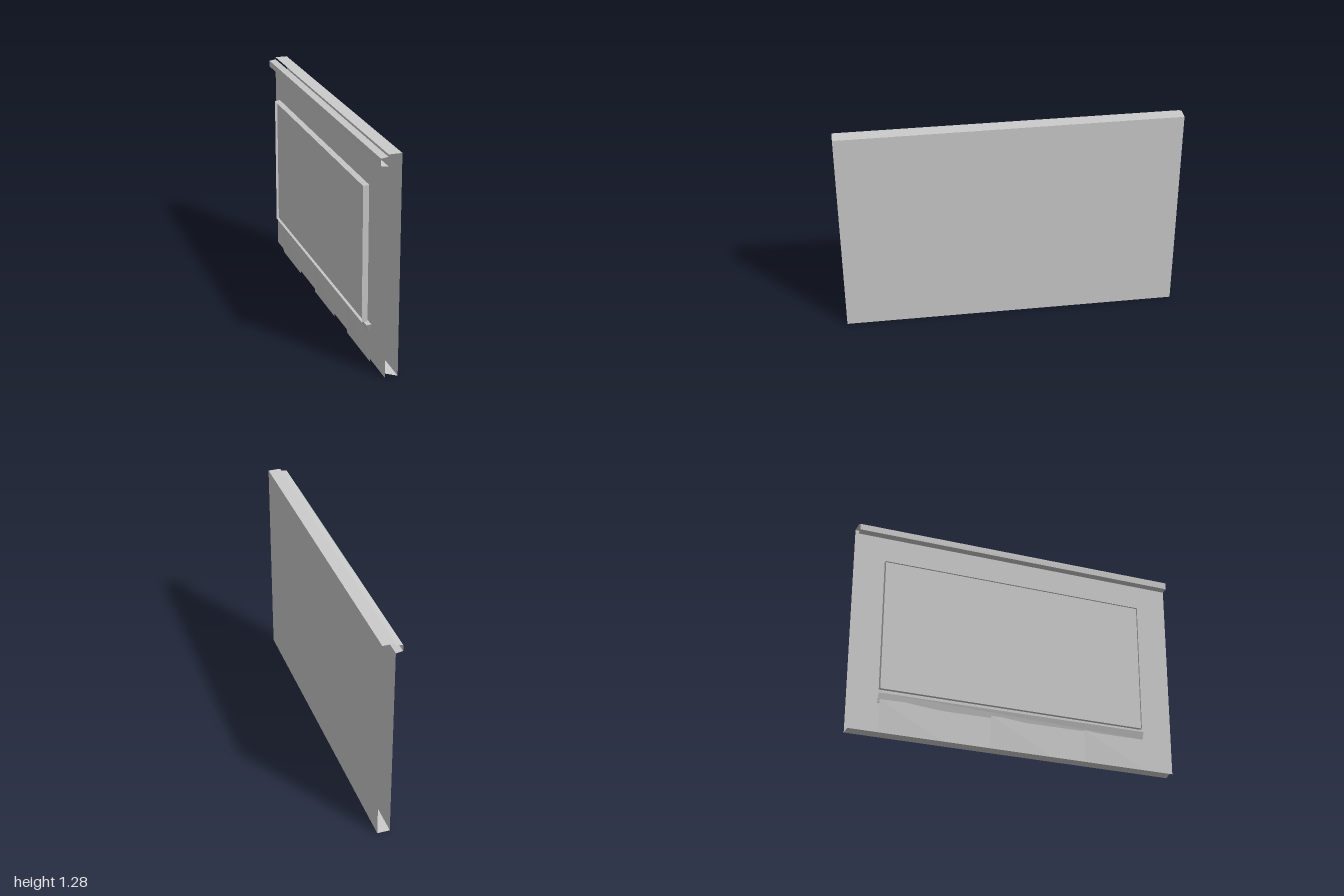
import * as THREE from 'three';

const material = new THREE.MeshStandardMaterial({
  color: 0xcccccc, flatShading: true, side: THREE.DoubleSide,
});

// Joins two cross-sections of [x, y, z] points with a thin sheet
function loft(name, a, b, closed = false) {
  const pos = [];
  const count = closed ? a.length : a.length - 1;
  for (let i = 0; i < count; i++) {
    const j = (i + 1) % a.length;
    pos.push(...a[i], ...b[i], ...b[j], ...a[i], ...b[j], ...a[j]);
  }
  const geometry = new THREE.BufferGeometry();
  geometry.setAttribute('position', new THREE.Float32BufferAttribute(pos, 3));
  geometry.computeVertexNormals();
  const mesh = new THREE.Mesh(geometry, material);
  mesh.name = name;
  return mesh;
}

// Runs an [x, y] profile straight along z
function strip(name, profile, z0, z1) {
  const at = (z) => profile.map(([x, y]) => [x, y, z]);
  return loft(name, at(z0), at(z1));
}

export function createModel() {
  const group = new THREE.Group();

  // Outer skin folded over into the top flange
  group.add(strip('outerSkin', [[0.065, 0], [0.065, 1.285], [-0.01, 1.285]], -1, 1));

  // Bottom flange, flat with one lifted corner
  group.add(strip('bottomFlange', [[0.065, 0], [-0.01, 0]], -1, 0.8));
  group.add(loft('bottomFlangeCorner',
    [[0.065, 0, 0.8], [-0.01, 0, 0.8]],
    [[0.065, 0, 1], [-0.008, 0.025, 1]]));

  // Inner panel, and the slightly uneven channel along its top edge
  group.add(strip('innerPanel', [[-0.01, 0], [-0.01, 1.222]], -1, 1));
  group.add(loft('topChannel',
    [[-0.01, 1.222, -1], [-0.05, 1.228, -1], [-0.05, 1.265, -1], [-0.01, 1.272, -1]],
    [[-0.01, 1.221, 1], [-0.05, 1.226, 1], [-0.052, 1.267, 1], [-0.01, 1.272, 1]]));

  // Raised rim with a shallow recessed face inside it
  const rim = (x, y0, y1, z0, z1) => [[x, y0, z0], [x, y1, z0], [x, y1, z1], [x, y0, z1]];
  group.add(loft('raisedRim',
    rim(-0.033, 0.245, 1.048, -0.84, 0.785),
    rim(-0.065, 0.24, 1.042, -0.84, 0.78), true));
  group.add(strip('recessedFace', [[-0.05, 0.243], [-0.05, 1.045]], -0.84, 0.782));

  // Twisted ledge beneath the rim
  group.add(loft('ledge',
    [[-0.012, 0.175, -0.84], [-0.036, 0.226, -0.84], [-0.022, 0.175, -0.84]],
    [[-0.015, 0.23, 0.8], [-0.045, 0.228, 0.8], [-0.03, 0.185, 0.8]], true));

  // Three tabs hanging from the ledge
  for (const [z0, z1] of [[-0.83, -0.46], [-0.17, 0.2], [0.42, 0.8]]) {
    group.add(loft('hangingTab',
      [[-0.03, 0.19, z0], [-0.022, 0, z0]],
      [[-0.024, 0.2, z1], [-0.022, 0, z1]]));
  }
  return group;
}
